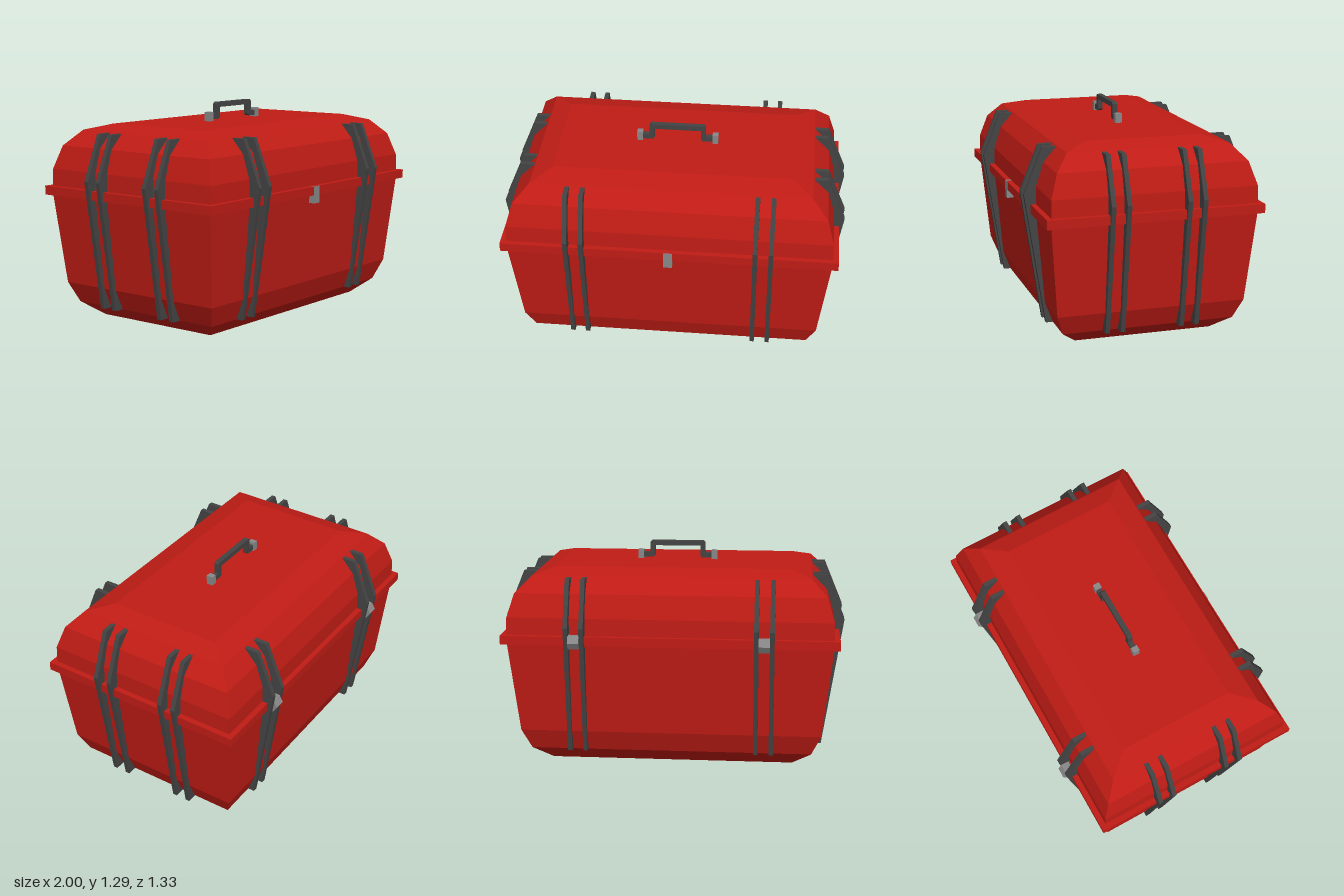
import * as THREE from 'three';

const red = new THREE.MeshStandardMaterial({ color: 0xc01c15, flatShading: true });
const dark = new THREE.MeshStandardMaterial({ color: 0x444444, flatShading: true });
const grey = new THREE.MeshStandardMaterial({ color: 0x888888, flatShading: true });
const Z0 = 0.005; // case centre in z, offset by the hinges at the back

// Rectangular rings [y, half width, half depth] joined upwards and capped
function loft(rings) {
  const pos = [];
  const corner = ([y, w, d], i) => [[w, y, d], [w, y, -d], [-w, y, -d], [-w, y, d]][i % 4];
  const quad = (a, b, c, d) => pos.push(...a, ...b, ...c, ...a, ...c, ...d);
  for (let r = 0; r < rings.length - 1; r++) {
    for (let i = 0; i < 4; i++) {
      quad(corner(rings[r], i), corner(rings[r], i + 1), corner(rings[r + 1], i + 1), corner(rings[r + 1], i));
    }
  }
  const lo = rings[0], hi = rings[rings.length - 1];
  quad(corner(lo, 3), corner(lo, 2), corner(lo, 1), corner(lo, 0));
  quad(corner(hi, 0), corner(hi, 1), corner(hi, 2), corner(hi, 3));
  const g = new THREE.BufferGeometry();
  g.setAttribute('position', new THREE.Float32BufferAttribute(pos, 3));
  g.computeVertexNormals();
  return g;
}

// Flat outline extruded and centred in z
function slab(points, depth) {
  const shape = new THREE.Shape(points.map(([x, y]) => new THREE.Vector2(x, y)));
  return new THREE.ExtrudeGeometry(shape, { depth, bevelEnabled: false }).translate(0, 0, -depth / 2);
}

export function createModel() {
  const model = new THREE.Group();
  model.name = 'toolCase';
  const add = (name, geometry, material, x = 0, y = 0, z = 0) => {
    const mesh = new THREE.Mesh(geometry, material);
    mesh.name = name;
    mesh.position.set(x, y, z);
    model.add(mesh);
    return mesh;
  };

  // Shell
  add('base', loft([
    [0, 0.59, 0.295], [0.035, 0.71, 0.405], [0.12, 0.82, 0.505], [0.24, 0.875, 0.55], [0.78, 0.938, 0.596],
  ]), red, 0, 0, Z0);
  add('rim', new THREE.BoxGeometry(1.94, 0.052, 1.252), red, 0, 0.794, Z0);
  add('lid', loft([
    [0.81, 0.938, 0.595], [0.92, 0.935, 0.593], [1.055, 0.895, 0.55], [1.145, 0.805, 0.47], [1.18, 0.69, 0.338],
  ]), red, 0, 0, Z0);

  // Ribs: two pairs on each of the four sides
  const sideRib = slab([[0.8, 0.12], [0.88, 0.12], [1, 0.875], [0.89, 1.14], [0.81, 1.14]], 0.026);
  const frontRib = slab([[0.48, 0.12], [0.546, 0.12], [0.662, 0.875], [0.555, 1.14], [0.47, 1.14]], 0.026);
  for (const s of [1, -1]) {
    for (const m of [1, -1]) {
      for (const z of [0.174, 0.263]) {
        add('sideRib', sideRib, dark, 0, 0, m * z + Z0).rotation.y = s > 0 ? 0 : Math.PI;
      }
      for (const x of [0.497, 0.587]) {
        add(s > 0 ? 'frontRib' : 'backRib', frontRib, dark, m * x, 0, Z0).rotation.y = -s * Math.PI / 2;
      }
    }
  }

  // Carrying handle with its end clips
  const half = [[0.21, 1.22], [0.165, 1.22], [0.165, 1.28], [0.155, 1.29]];
  const inner = [[0.137, 1.26], [0.137, 1.2], [0.147, 1.19], [0.21, 1.19]];
  const mirror = (pts) => pts.map(([x, y]) => [-x, y]).reverse();
  add('handle', slab([...half, ...mirror(half), ...mirror(inner), ...inner], 0.03), dark, 0, 0, Z0);
  for (const s of [1, -1]) {
    add('handleClip', new THREE.BoxGeometry(0.034, 0.057, 0.04), grey, s * 0.222, 1.206, Z0);
  }

  // Front latch and back hinges
  add('latch', new THREE.BoxGeometry(0.05, 0.1, 0.05), grey, 0, 0.77, 0.61);
  const barrel = new THREE.CylinderGeometry(0.044, 0.044, 0.064, 6).rotateZ(Math.PI / 2);
  for (const s of [1, -1]) add('hinge', barrel, grey, s * 0.542, 0.791, -0.623);

  return model;
}
